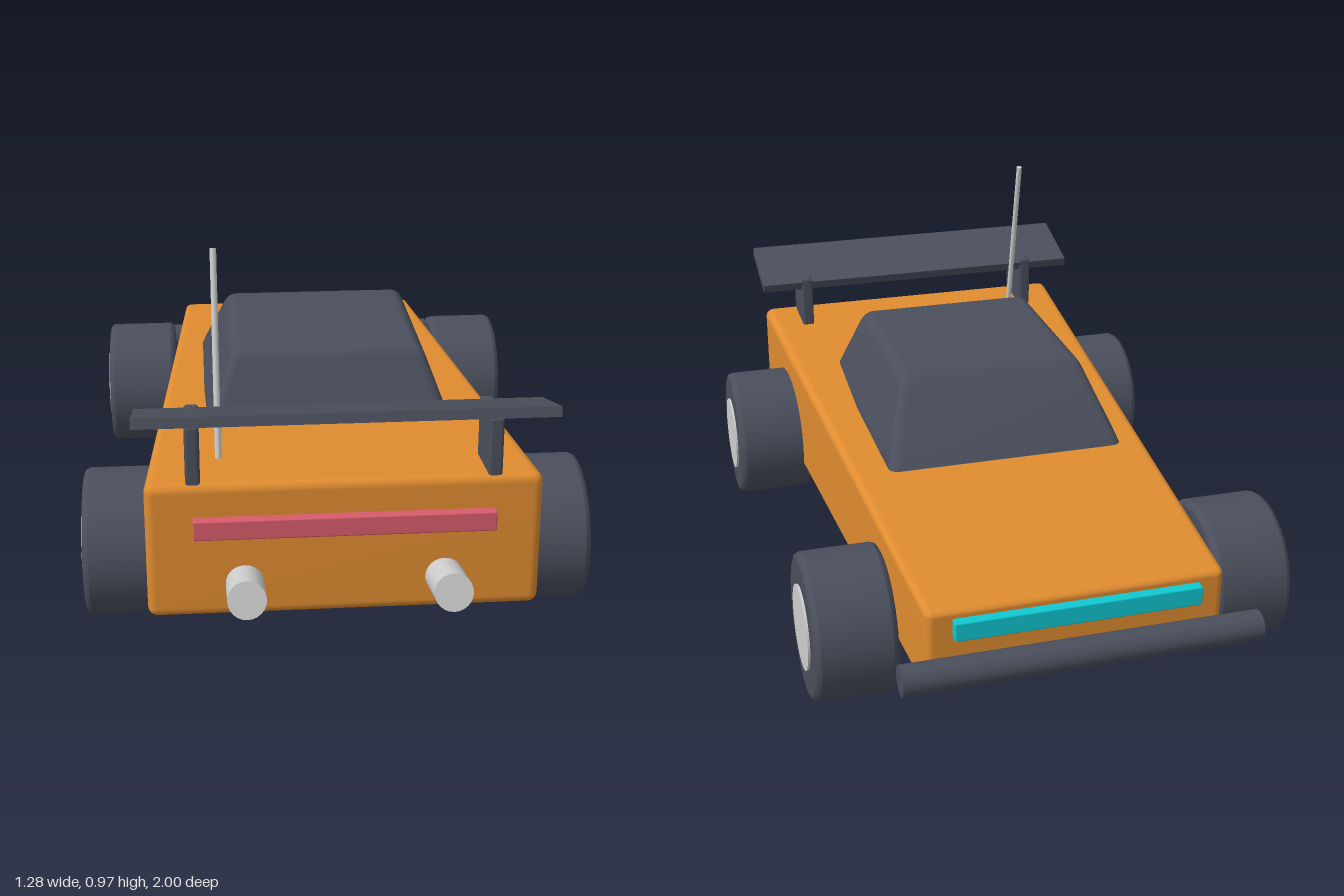
import * as THREE from 'three';
import { RoundedBoxGeometry } from 'three/addons/geometries/RoundedBoxGeometry.js';
import { mergeVertices } from 'three/addons/utils/BufferGeometryUtils.js';

const lerp = THREE.MathUtils.lerp;

function material(name, color) {
  const m = new THREE.MeshStandardMaterial({ color });
  m.name = name;
  return m;
}

// Rounded box whose vertices are moved by a rule, with smooth area-weighted normals
function shapedBox(w, h, d, radius, rule) {
  let geo = new RoundedBoxGeometry(w, h, d, 3, radius);
  geo.deleteAttribute('normal');
  geo.deleteAttribute('uv');
  geo = mergeVertices(geo, 1e-5);
  const pos = geo.attributes.position;
  const v = new THREE.Vector3();
  for (let i = 0; i < pos.count; i++) {
    v.fromBufferAttribute(pos, i);
    rule(v);
    pos.setXYZ(i, v.x, v.y, v.z);
  }
  geo.computeVertexNormals();
  return geo;
}

export function createModel() {
  const car = new THREE.Group();
  car.name = 'car';
  const orange = material('orangePaint', 0xe08c30);
  const dark = material('darkGrey', 0x4a4f5c);
  const silver = material('silver', 0xcfcfcf);
  const red = material('tailRed', 0xd85c6c);
  const cyan = material('lightCyan', 0x10c8d2);

  function add(name, geo, mat, x = 0, y = 0, z = 0, parent = car) {
    const mesh = new THREE.Mesh(geo, mat);
    mesh.name = name;
    mesh.position.set(x, y, z);
    parent.add(mesh);
    return mesh;
  }

  // Straight rod between two points
  function rod(name, a, b, radius, mat, sides = 24) {
    const dir = b.clone().sub(a);
    const mesh = add(name, new THREE.CylinderGeometry(radius, radius, dir.length(), sides), mat);
    mesh.position.copy(a).add(b).multiplyScalar(0.5);
    mesh.quaternion.setFromUnitVectors(new THREE.Vector3(0, 1, 0), dir.normalize());
    return mesh;
  }

  // Wedge body: narrower and lower towards -z
  add('body', shapedBox(0.95, 0.35, 1.75, 0.025, (v) => {
    const t = (v.z + 0.875) / 1.75;
    const up = (v.y + 0.175) / 0.35;
    v.x *= lerp(0.79, 1, t);
    v.y = 0.14 + up * lerp(0.22, 0.35, t);
    v.z -= 0.035;
  }), orange);

  // Cabin: tapers to the roof, with a flat underside
  add('cabin', shapedBox(0.65, 0.205, 0.76, 0.03, (v) => {
    if (v.y < -0.073) v.y = -0.1025;
    const t = (v.y + 0.1025) / 0.205;
    v.x *= lerp(1, 0.76, t);
    v.z = v.z * lerp(1, 0.65, t) + lerp(0.05, 0.093, t);
    v.y += 0.5375;
  }), dark);

  // Wheels: bevelled tyre and hub disc, axis along x
  function wheel(name, side, inner, outer, y, z) {
    const group = new THREE.Group();
    group.name = name;
    const w = (outer - inner) / 2, r = 0.187, b = 0.015;
    const profile = [[0, -w], [r - b, -w], [r - b * 0.3, -w + b * 0.3], [r, -w + b],
      [r, w - b], [r - b * 0.3, w - b * 0.3], [r - b, w], [0, w]];
    // doubled points keep the flat sides and tread crisp
    const points = profile.flatMap(([x, h], i) => {
      const p = new THREE.Vector2(x, h);
      return [1, 3, 4, 6].includes(i) ? [p, new THREE.Vector2(x + (i === 1 || i === 6 ? 1e-4 : 0),
        h + (i === 3 ? 1e-4 : i === 4 ? 1e-4 : 0))] : [p];
    });
    add('tyre', new THREE.LatheGeometry(points, 40), dark, 0, 0, 0, group);
    add('hub', new THREE.CylinderGeometry(0.108, 0.108, 0.04, 32), silver, 0, w - 0.014, 0, group);
    group.rotation.z = -side * Math.PI / 2;
    group.position.set(side * (inner + outer) / 2, y, z);
    car.add(group);
  }

  for (const side of [1, -1]) {
    const label = side > 0 ? 'Left' : 'Right';
    wheel('bigWheel' + label, side, 0.42, 0.635, 0.2, 0.53);
    wheel('noseWheel' + label, side, 0.412, 0.618, 0.192, -0.622);
    add('spoilerStrut' + label, new RoundedBoxGeometry(0.035, 0.19, 0.15, 2, 0.008), dark,
      side * 0.358, 0.535, 0.755);
    rod('exhaust' + label, new THREE.Vector3(side * 0.24, 0.215, 0.78),
      new THREE.Vector3(side * 0.24, 0.263, 0.989), 0.046, silver);
  }

  // Tilted spoiler blade
  const blade = add('spoilerBlade', new THREE.BoxGeometry(0.99, 0.025, 0.213), dark, 0, 0.637, 0.785);
  blade.rotation.x = -0.28;

  // Lights, bumper bar and aerial
  add('tailLight', new RoundedBoxGeometry(0.72, 0.05, 0.05, 2, 0.004), red, 0, 0.38, 0.84);
  add('lightBar', new RoundedBoxGeometry(0.62, 0.05, 0.05, 2, 0.004), cyan, 0, 0.312, -0.91);
  rod('bumperBar', new THREE.Vector3(-0.45, 0.225, -0.962), new THREE.Vector3(0.45, 0.225, -0.962), 0.038, dark);
  rod('aerial', new THREE.Vector3(-0.295, 0.45, 0.664), new THREE.Vector3(-0.295, 0.977, 0.55), 0.008, silver, 12);

  return car;
}
